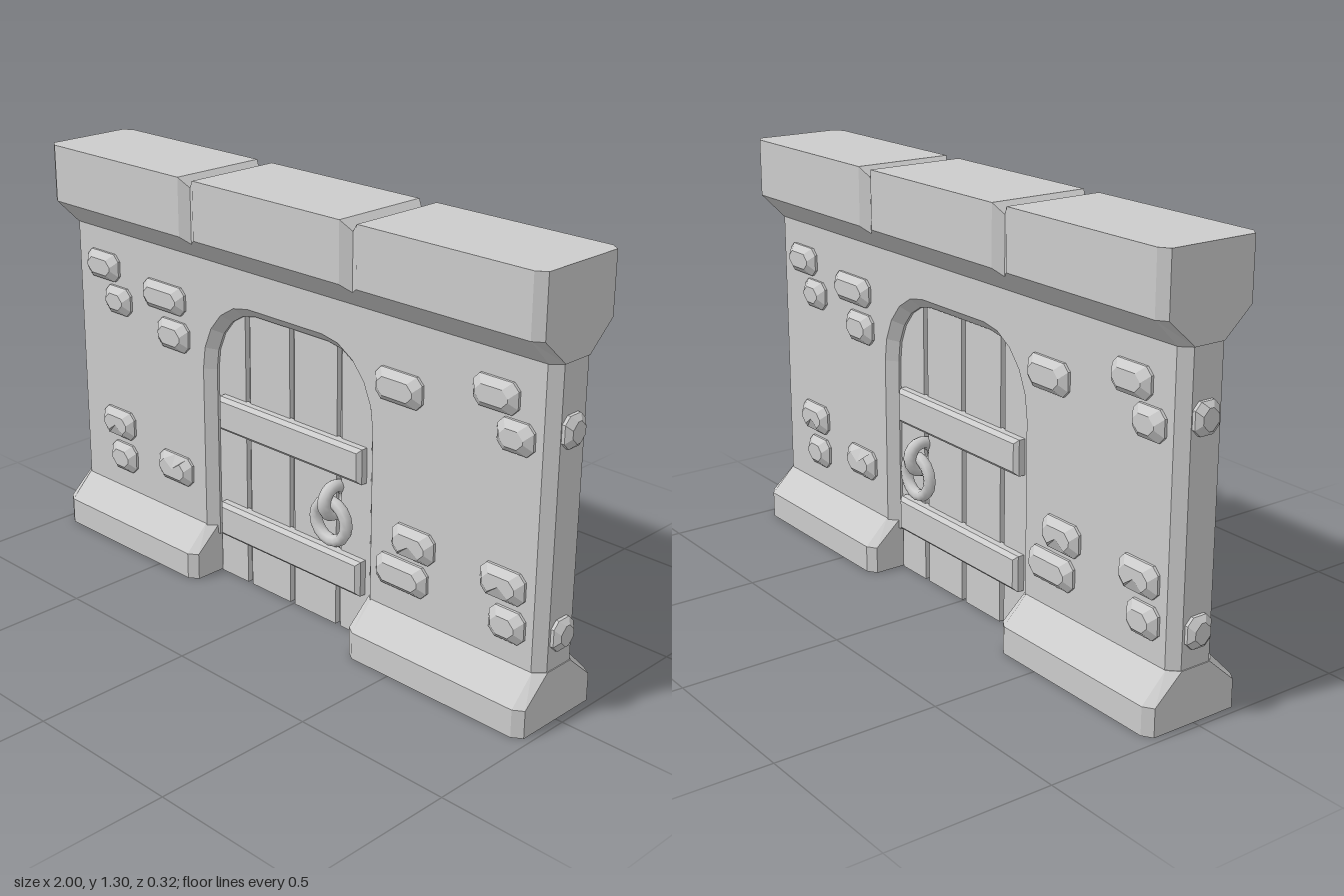
import * as THREE from 'three';

const grey = new THREE.MeshStandardMaterial({ color: 0xcccccc, flatShading: true });
const greyOpen = new THREE.MeshStandardMaterial({ color: 0xcccccc, flatShading: true, side: THREE.DoubleSide });
const smooth = new THREE.MeshStandardMaterial({ color: 0xcccccc });

function add(parent, name, geometry, material = grey) {
  const mesh = new THREE.Mesh(geometry, material);
  mesh.name = name;
  parent.add(mesh);
  return mesh;
}

// Skin a series of point rings; open rings leave their last edge unfilled
function skin(rings, { open = false, start = true, end = true } = {}) {
  const pos = [];
  const tri = (...pts) => pts.forEach((p) => pos.push(...p));
  const n = rings[0].length;
  for (let r = 0; r + 1 < rings.length; r++) {
    const a = rings[r], b = rings[r + 1];
    for (let i = 0; i < (open ? n - 1 : n); i++) {
      const j = (i + 1) % n;
      tri(a[i], a[j], b[j]);
      tri(a[i], b[j], b[i]);
    }
  }
  const cap = (ring, flip) => {
    const c = [0, 1, 2].map((k) => ring.reduce((s, p) => s + p[k], 0) / n);
    ring.forEach((p, i) => {
      const q = ring[(i + 1) % n];
      flip ? tri(c, q, p) : tri(c, p, q);
    });
  };
  if (start) cap(rings[0], true);
  if (end) cap(rings[rings.length - 1], false);
  const g = new THREE.BufferGeometry();
  g.setAttribute('position', new THREE.Float32BufferAttribute(pos, 3));
  g.computeVertexNormals();
  return g;
}

// Symmetric cross-section at station x from [z, y] points of one half
const section = (x, half) => [
  ...half.map(([z, y]) => [x, y, -z]),
  ...[...half].reverse().map(([z, y]) => [x, y, z]),
];

// Slab with bevelled front, cut corners and an optional chip in its front edge
function slab(w, h, d, { bevel = 0.02, cut = 0.02, chip = 0 } = {}) {
  const ring = (inset, z, notch) => {
    const x = w / 2 - inset, y = h / 2 - inset, c = cut;
    return [
      [0, -y + (notch > 0 ? notch : 0), z], [x - c, -y, z], [x, -y + c, z], [x, y - c, z], [x - c, y, z],
      [0, y + (notch < 0 ? notch : 0), z], [-x + c, y, z], [-x, y - c, z], [-x, -y + c, z], [-x + c, -y, z],
    ];
  };
  return skin([ring(0, 0, 0), ring(0, d - bevel, 0), ring(bevel, d, chip)]);
}

function buildBody() {
  const shape = new THREE.Shape();
  shape.moveTo(-0.975, 0.13);
  shape.lineTo(-0.325, 0.13);
  const N = 5;
  for (const side of [-1, 1]) {
    for (let i = 0; i <= N; i++) {
      const t = ((side < 0 ? i : N - i) / N) * Math.PI / 2;
      shape.lineTo(side * (0.15 + 0.175 * Math.cos(t)), 0.69 + 0.21 * Math.sin(t));
    }
  }
  shape.lineTo(0.325, 0.13);
  shape.lineTo(0.975, 0.13);
  shape.lineTo(0.975, 1.08);
  shape.lineTo(-0.975, 1.08);
  shape.closePath();
  const g = new THREE.ExtrudeGeometry(shape, {
    depth: 0.1, bevelThickness: 0.03, bevelSize: 0.03, bevelOffset: -0.03, bevelSegments: 1,
  });
  return g.translate(0, 0, -0.05);
}

function buildCornice() {
  const full = [[0.08, 1.045], [0.16, 1.125], [0.16, 1.305]];
  const end = [[0.05, 1.045], [0.14, 1.125], [0.14, 1.305]];
  const groove = [[0.08, 1.045], [0.14, 1.105], [0.14, 1.275]];
  const stations = [[-0.978, end], [-0.948, full]];
  for (const x of [-0.328, 0.328]) stations.push([x - 0.032, full], [x, groove], [x + 0.032, full]);
  stations.push([0.948, full], [0.978, end]);
  return skin(stations.map(([x, p]) => section(x, p)));
}

// Flared hollow footing, open underneath
function buildFooting(side) {
  const full = [[0.16, 0], [0.16, 0.085], [0.08, 0.165]];
  const end = [[0.14, 0], [0.14, 0.085], [0.05, 0.165]];
  let stations = [[0.33, end], [0.36, full], [0.948, full], [0.978, end]];
  if (side < 0) stations = stations.map(([x, p]) => [-x, p]).reverse();
  return skin(stations.map(([x, p]) => section(x, p)), { open: true });
}

// x, y, width, height, chip
const bricks = [
  [-0.82, 0.925, 0.15, 0.09], [-0.75, 0.822, 0.12, 0.09], [-0.525, 0.885, 0.19, 0.09], [-0.485, 0.77, 0.14, 0.095],
  [0.455, 0.85, 0.17, 0.095], [0.79, 0.925, 0.15, 0.09], [0.86, 0.825, 0.12, 0.09],
  [-0.77, 0.395, 0.15, 0.095, 0.025], [-0.75, 0.28, 0.12, 0.095], [-0.49, 0.32, 0.155, 0.095, -0.025],
  [0.52, 0.4, 0.155, 0.095, 0.025], [0.48, 0.29, 0.19, 0.095], [0.84, 0.395, 0.15, 0.095, 0.025], [0.86, 0.28, 0.12, 0.095],
];

export function createModel() {
  const model = new THREE.Group();
  model.name = 'gateWall';

  add(model, 'wallBody', buildBody());
  add(model, 'cornice', buildCornice());
  for (const side of [-1, 1]) {
    add(model, 'footing', buildFooting(side), greyOpen);
    // Dividing web inside the footing
    const web = section(side * 0.65, [[0.16, 0], [0.16, 0.085], [0.08, 0.165]]);
    add(model, 'footingWeb', skin([web], { start: false }), greyOpen);
  }

  // Raised bricks, the same layout turned half round for the other face
  for (const turn of [0, Math.PI]) {
    const face = new THREE.Group();
    face.name = turn ? 'backBricks' : 'frontBricks';
    face.rotation.y = turn;
    for (const [x, y, w, h, chip] of bricks) {
      add(face, 'brick', slab(w, h, 0.038, { chip })).position.set(x, y, 0.07);
    }
    for (const [y, z] of [[0.855, 0.005], [0.267, 0]]) {
      const brick = add(face, 'endBrick', slab(0.084, 0.092, 0.04, { bevel: 0.015 }));
      brick.rotation.y = Math.PI / 2;
      brick.position.set(0.96, y, z);
    }
    model.add(face);
  }

  // Door: planks over a thin core, battens and ring handles on both faces
  const door = new THREE.Group();
  door.name = 'door';
  model.add(door);
  add(door, 'doorCore', new THREE.BoxGeometry(0.65, 0.9, 0.05)).position.y = 0.45;
  const seams = [-0.335, -0.195, -0.005, 0.19, 0.335];
  for (let i = 0; i < 4; i++) {
    const w = seams[i + 1] - seams[i] - 0.02;
    add(door, 'plank', new THREE.BoxGeometry(w, 0.91, 0.084))
      .position.set((seams[i] + seams[i + 1]) / 2, 0.455, 0);
  }
  for (const side of [1, -1]) {
    for (const [y, h] of [[0.558, 0.11], [0.2, 0.112]]) {
      const batten = add(door, 'batten', slab(0.6, h, 0.04, { bevel: 0.012, cut: 0 }));
      batten.position.set(0, y, side * 0.035);
      batten.rotation.y = side > 0 ? 0 : Math.PI;
    }
    const link = add(door, 'handleLink', new THREE.TorusGeometry(0.045, 0.02, 8, 16), smooth);
    link.rotation.y = Math.PI / 2;
    link.position.set(0.19, 0.42, side * 0.06);
    add(door, 'handleRing', new THREE.TorusGeometry(0.062, 0.019, 8, 16), smooth)
      .position.set(0.19, 0.358, side * 0.075);
  }
  return model;
}
